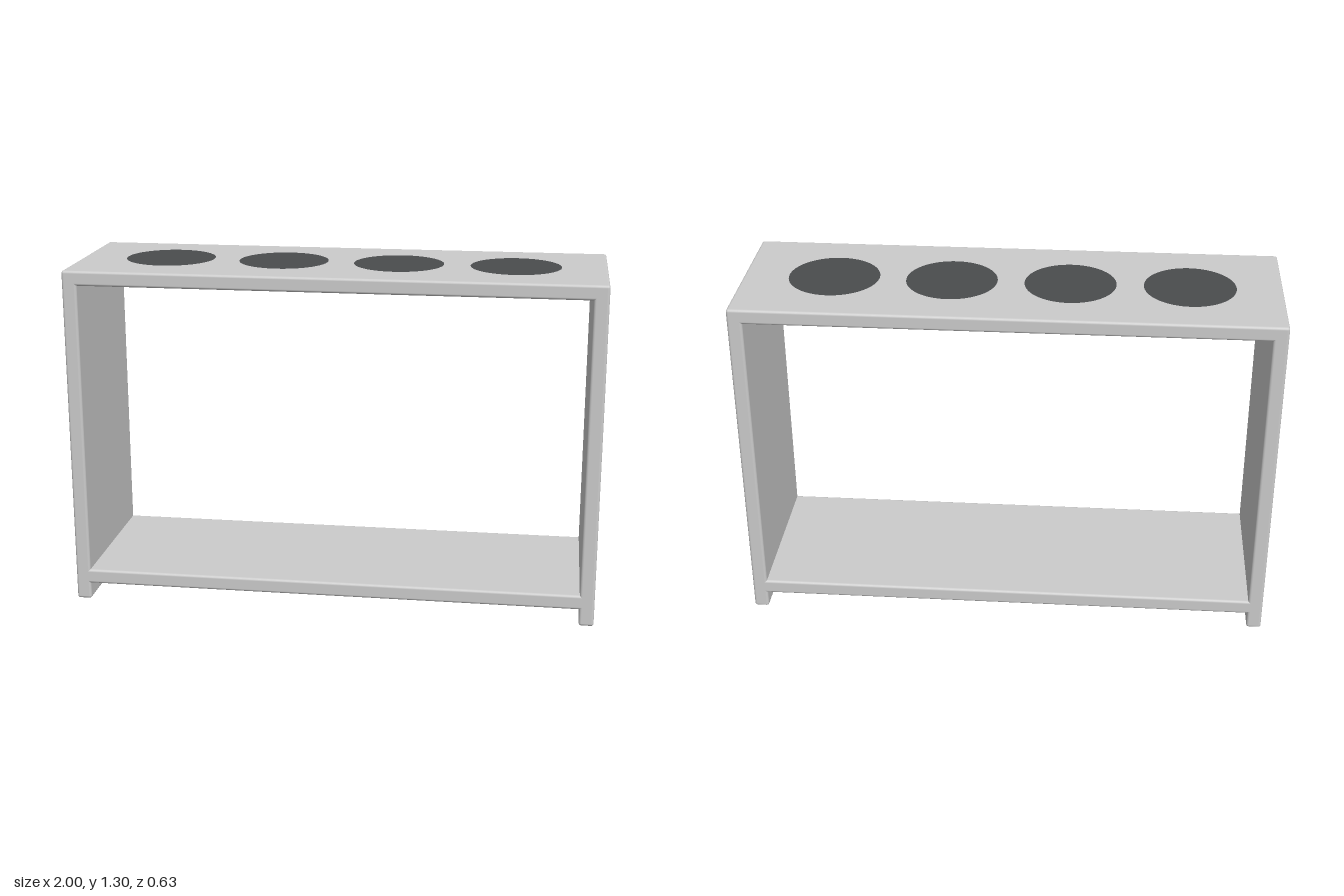
import * as THREE from 'three';
import { RoundedBoxGeometry } from 'three/addons/geometries/RoundedBoxGeometry.js';

const WIDTH = 2, HEIGHT = 1.3, DEPTH = 0.635, BOARD = 0.056, BEVEL = 0.01;

export function createModel() {
  const group = new THREE.Group();
  const grey = new THREE.MeshStandardMaterial({ color: 0xcccccc });
  const dark = new THREE.MeshStandardMaterial({ color: 0x4a4c4e });

  const addBoard = (name, w, h, x, y) => {
    const board = new THREE.Mesh(new RoundedBoxGeometry(w, h, DEPTH, 3, BEVEL), grey);
    board.name = name;
    board.position.set(x, y, 0);
    group.add(board);
  };

  // Upright side panels, running from the ground to the top
  const sideX = (WIDTH - BOARD) / 2;
  addBoard('leftSide', BOARD, HEIGHT, sideX, HEIGHT / 2);
  addBoard('rightSide', BOARD, HEIGHT, -sideX, HEIGHT / 2);

  // Horizontal boards, with their ends let into the sides
  const span = WIDTH - BOARD;
  addBoard('topBoard', span, BOARD, 0, HEIGHT - BOARD / 2);
  addBoard('bottomShelf', span, BOARD, 0, 0.093);

  // Row of four dark round openings on the top
  const disc = new THREE.CircleGeometry(0.17, 64).rotateX(-Math.PI / 2);
  for (let i = 0; i < 4; i++) {
    const opening = new THREE.Mesh(disc, dark);
    opening.name = `roundOpening${i + 1}`;
    opening.position.set((i - 1.5) * 0.44, HEIGHT + 0.001, 0);
    group.add(opening);
  }
  return group;
}
